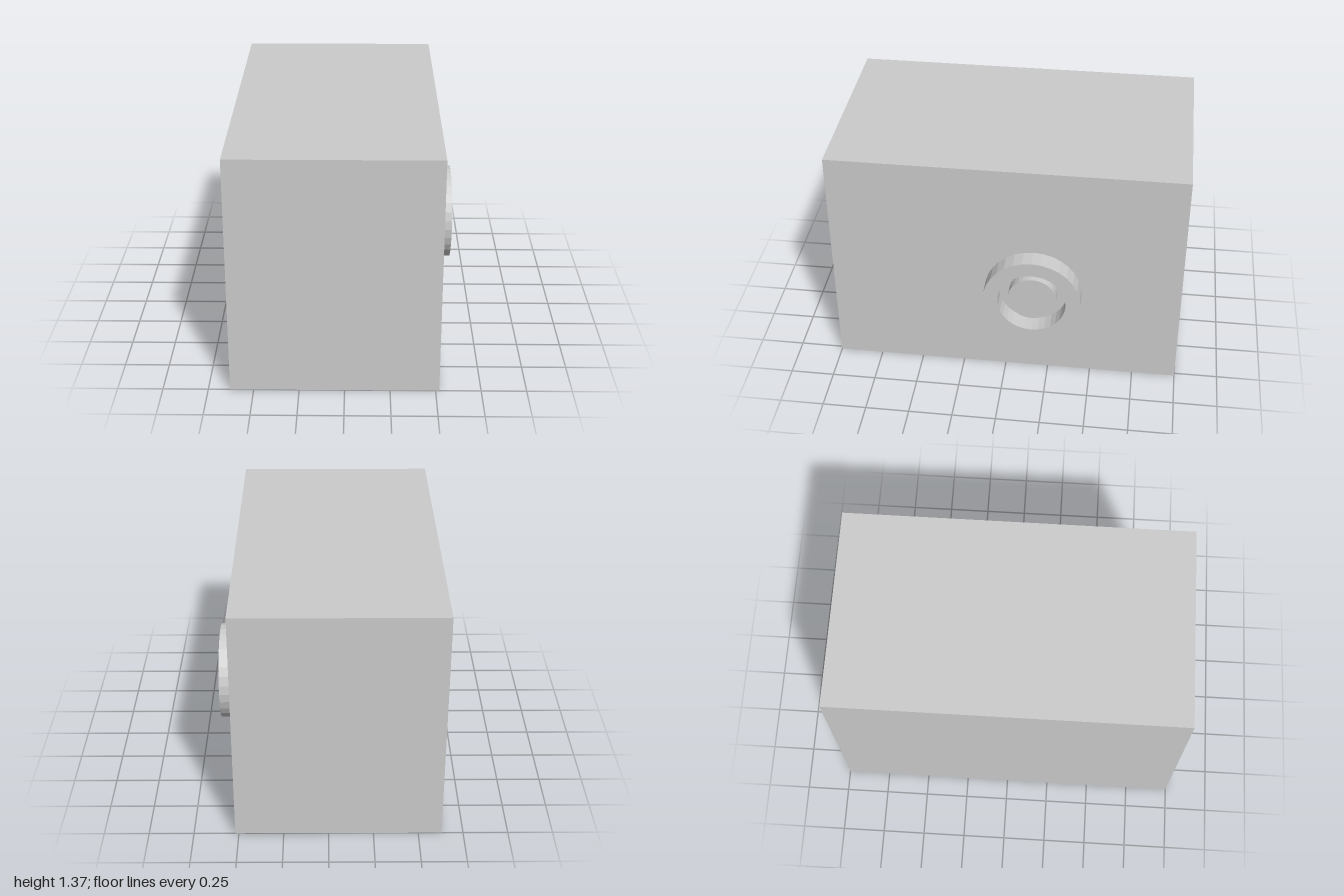
import * as THREE from 'three';

export function createModel() {
  const model = new THREE.Group();
  const material = new THREE.MeshStandardMaterial({ color: 0xcccccc, flatShading: true });
  const faceX = 0.52, segments = 32;

  function add(name, geometry, parent) {
    const mesh = new THREE.Mesh(geometry, material);
    mesh.name = name;
    parent.add(mesh);
    return mesh;
  }

  // Main block
  add('body', new THREE.BoxGeometry(1.15, 1.365, 2), model).position.set(-0.055, 0.6825, 0);

  // Round fitting on the side; its local y axis points out along +x
  const fitting = new THREE.Group();
  fitting.name = 'sideFitting';
  fitting.position.set(faceX, 0.558, -0.16);
  fitting.rotation.z = -Math.PI / 2;
  model.add(fitting);

  // Raised collar with an open centre
  const profile = [[0.278, 0], [0.278, 0.107], [0.194, 0.107], [0.194, 0]];
  add('collar', new THREE.LatheGeometry(
    profile.map(([r, y]) => new THREE.Vector2(r, y)), segments), fitting);

  // Button recessed just below the collar's rim
  const height = 0.072;
  add('button', new THREE.CylinderGeometry(0.138, 0.138, height, segments), fitting).position.y = height / 2;

  // Lathe profile runs upward on the outside, so its faces point outward
  return model;
}
